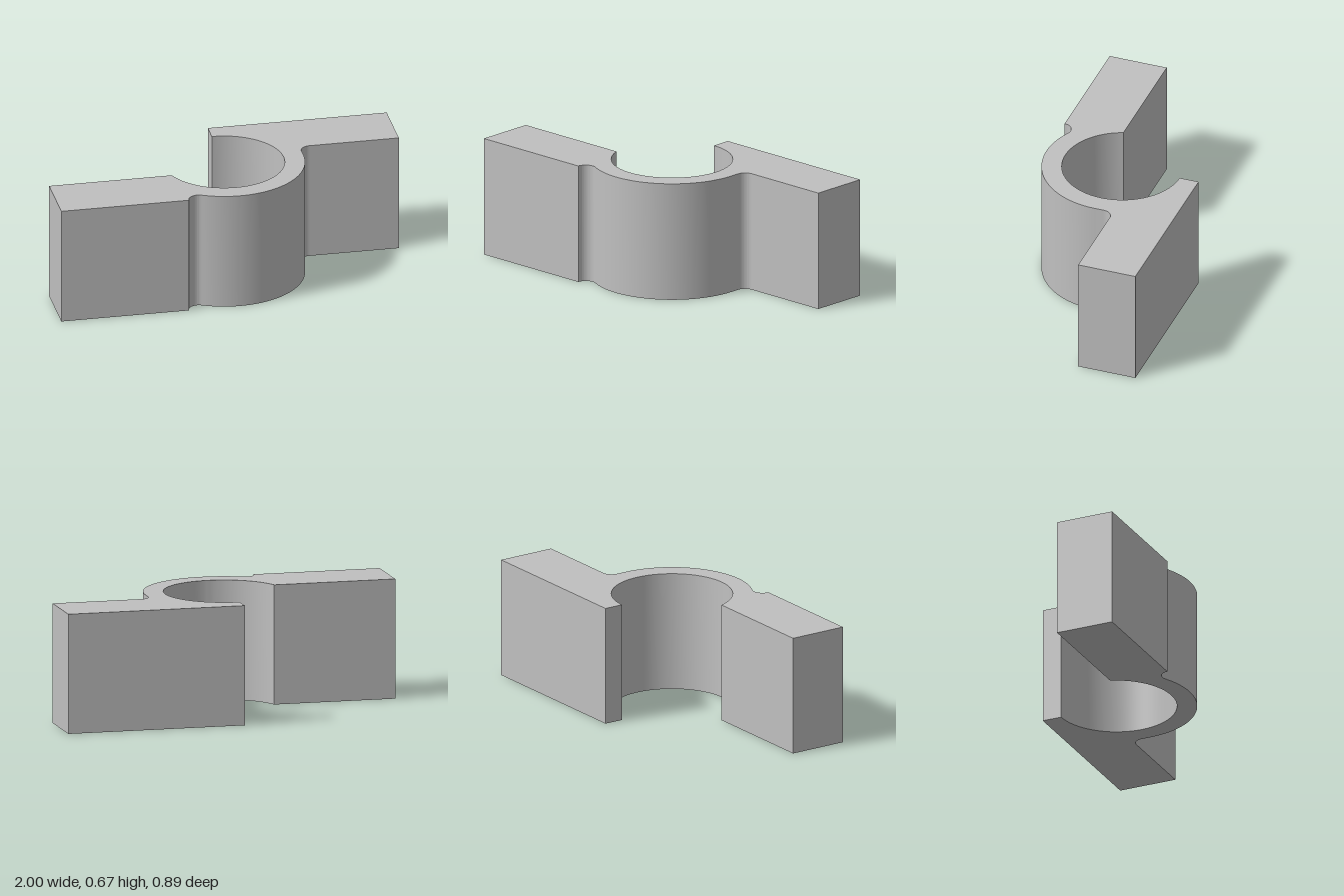
import * as THREE from 'three';
import { toCreasedNormals } from 'three/addons/utils/BufferGeometryUtils.js';

const HEIGHT = 0.667;
const BORE = 0.333;   // inner radius of the ring
const RING = 0.444;   // outer radius of the ring, also the outer face of both plates
const INNER = 0.111;  // inner face of both plates
const FILLET = 0.056;

export function createModel() {
  const group = new THREE.Group();
  group.name = 'offsetClamp';
  const grey = new THREE.MeshStandardMaterial({ color: 0xc0c0c0 });
  grey.name = 'plain grey';

  // Plan outline: shape x is model x, shape y is model z
  const filletX = -Math.sqrt((RING + FILLET) ** 2 - RING ** 2);
  const ringEnd = Math.atan2(RING, filletX);
  const boreX = -Math.sqrt(BORE ** 2 - INNER ** 2);
  const outline = new THREE.Shape();

  // Rear plate
  outline.moveTo(0, -RING);
  outline.lineTo(1, -RING);
  outline.lineTo(1, -INNER);
  // Fillet into the ring, outer ring wall, fillet into the front plate
  outline.absarc(RING + FILLET, -INNER + FILLET, FILLET, -Math.PI / 2, -Math.PI, true);
  outline.absarc(0, 0, RING, 0, ringEnd, false);
  outline.absarc(filletX, RING, FILLET, ringEnd - Math.PI, -Math.PI, true);
  // Front plate
  outline.lineTo(-1, RING);
  outline.lineTo(-1, INNER);
  // Open bore back to the rear plate
  outline.absarc(0, 0, BORE, Math.atan2(INNER, boreX), -Math.PI / 2, true);
  outline.closePath();

  const extruded = new THREE.ExtrudeGeometry(outline, { depth: HEIGHT, bevelEnabled: false, curveSegments: 40 });
  extruded.rotateX(Math.PI / 2).translate(0, HEIGHT, 0);

  const body = new THREE.Mesh(toCreasedNormals(extruded, Math.PI / 6), grey);
  body.name = 'clampBody';
  group.add(body);
  return group;
}
